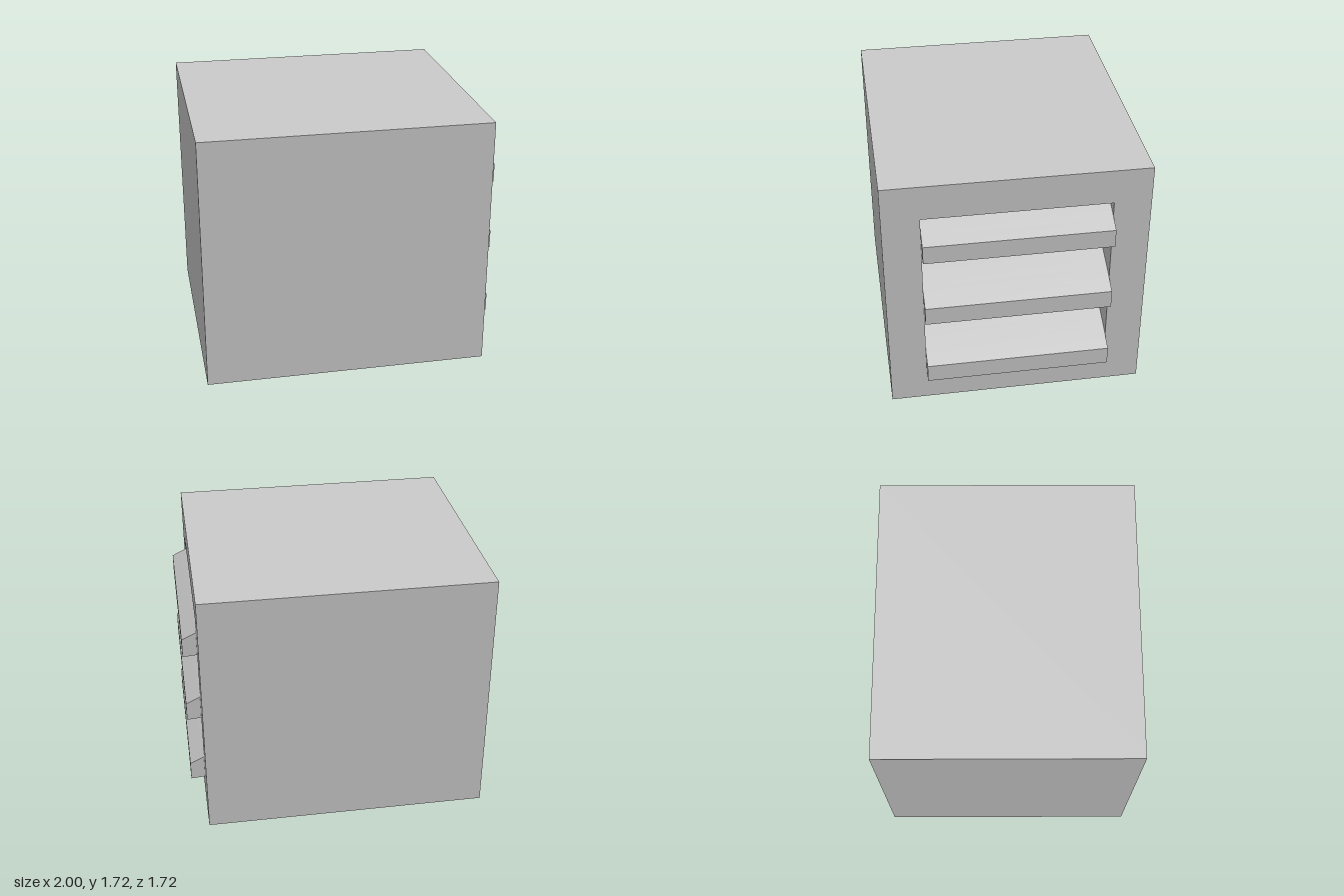
import * as THREE from 'three';
import { toCreasedNormals } from 'three/addons/utils/BufferGeometryUtils.js';

const FACE = 0.905, HEIGHT = 1.72, HALF = 0.86;   // cabinet
const OPEN = { half: 0.615, low: 0.24, high: 1.48, depth: 1.3 };
const PITCH = 0.4915, DEPTH = 1.25, STEPS = 16;   // slats

// A box without its +x side
function openBox(w, h, d) {
  const g = new THREE.BoxGeometry(w, h, d);
  g.setIndex(Array.from(g.index.array).slice(6));
  return g;
}

// Rectangle outline, also used for the hole
function rectangle(path, x, y0, y1) {
  path.moveTo(-x, y0);
  path.lineTo(x, y0);
  path.lineTo(x, y1);
  path.lineTo(-x, y1);
  path.closePath();
  return path;
}

// Wedge slat: almost level underside, top that climbs inward and flattens
function slatGeometry(base) {
  const points = [];
  for (let i = 0; i <= STEPS; i++) {
    const d = (i / STEPS) * DEPTH;
    points.push(new THREE.Vector2(1 - d, base + 0.08 * d - 0.03 * d * d));
  }
  for (let i = STEPS; i >= 0; i--) {
    const d = (i / STEPS) * DEPTH;
    const y = base + 0.127 + 0.5 * d - 0.155 * d * d;
    points.push(new THREE.Vector2(1 - d, Math.min(y, OPEN.high - 0.001)));
  }
  const g = new THREE.ExtrudeGeometry(new THREE.Shape(points.reverse()), {
    depth: OPEN.half * 2, bevelEnabled: false,
  });
  g.translate(0, 0, -OPEN.half);
  return toCreasedNormals(g, 0.4);
}

export function createModel() {
  const model = new THREE.Group();
  const grey = new THREE.MeshStandardMaterial({ color: 0xcccccc });
  const inside = new THREE.MeshStandardMaterial({ color: 0xcccccc, side: THREE.BackSide });

  const add = (name, geometry, material = grey) => {
    const mesh = new THREE.Mesh(geometry, material);
    mesh.name = name;
    model.add(mesh);
  };

  // Cabinet: five plain sides
  const width = FACE + 1;
  add('cabinet', openBox(width, HEIGHT, HALF * 2).translate(FACE - width / 2, HEIGHT / 2, 0));

  // Side panel with the rectangular opening
  const panel = rectangle(new THREE.Shape(), HALF, 0, HEIGHT);
  panel.holes.push(rectangle(new THREE.Path(), OPEN.half, OPEN.low, OPEN.high));
  add('ventPanel', new THREE.ShapeGeometry(panel).rotateY(Math.PI / 2).translate(FACE, 0, 0));

  // Walls of the recess behind the opening
  add('recess', openBox(OPEN.depth, OPEN.high - OPEN.low, OPEN.half * 2)
    .translate(FACE - OPEN.depth / 2, (OPEN.high + OPEN.low) / 2, 0), inside);

  // Three slats reaching out of the opening
  ['lowerSlat', 'middleSlat', 'upperSlat'].forEach((name, i) => {
    add(name, slatGeometry(0.225 + i * PITCH));
  });

  return model;
}
